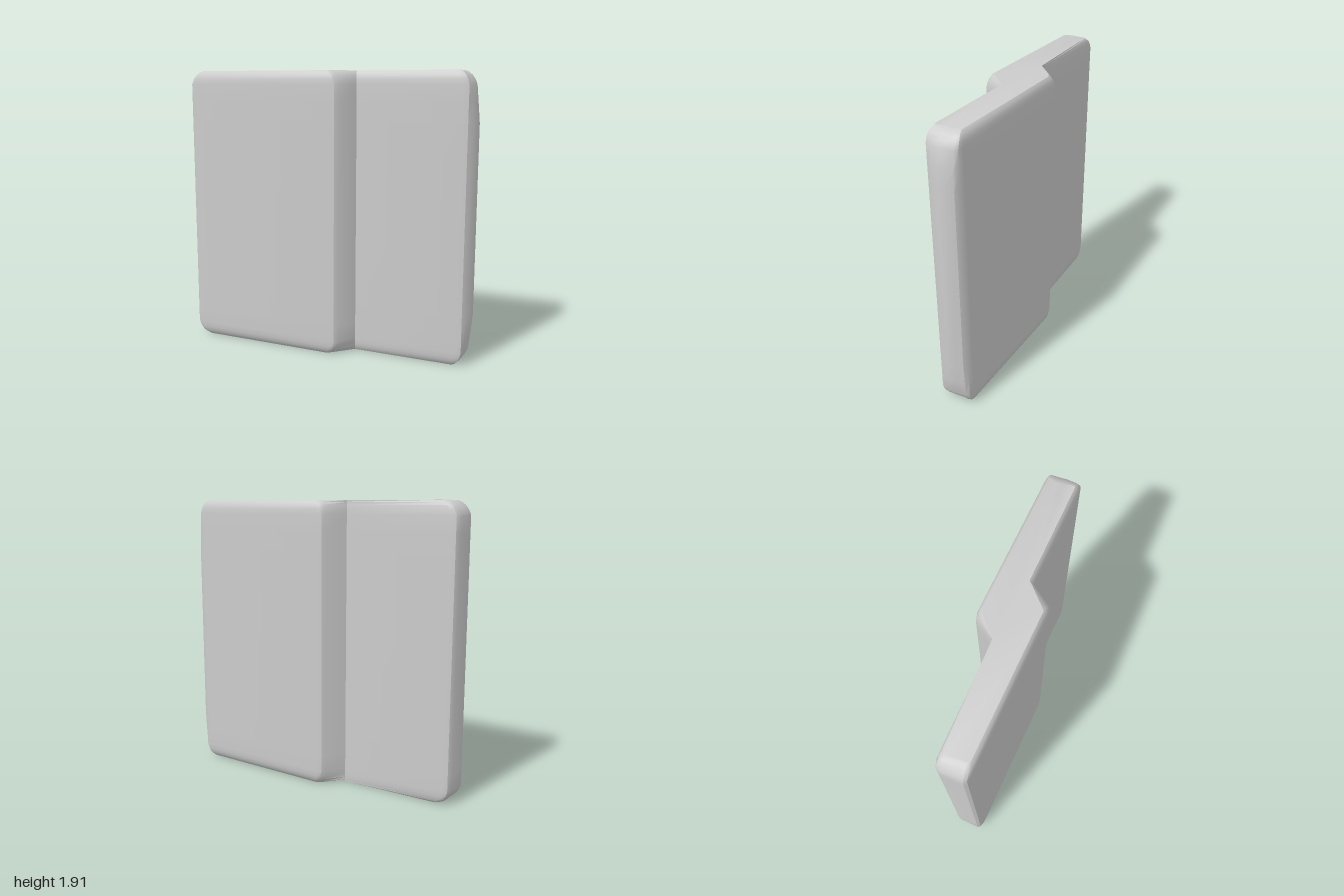
import * as THREE from 'three';
import { toCreasedNormals } from 'three/addons/utils/BufferGeometryUtils.js';

const HEIGHT = 1.915;

// Stepped plan outline, counter-clockwise from above:
// x, z, corner inset along x, bevel inset along z, bulge inset along x
const OUTLINE = [
  [-1, 0.02, 1, 0, 0],
  [-1, 0.16, 1, -0.015, 0],
  [-0.985, 0.178, 1, -0.02, 0],
  [-0.95, 0.187, 0.7, -0.025, 0],
  [0.08, 0.187, -0.3, -0.025, 0],
  [0.115, 0.182, -0.6, -0.025, 0],
  [0.14, 0.16, -0.7, -0.02, 0],
  [0.21, 0.032, -0.1, -0.02, 0],
  [0.91, 0.032, -0.4, -0.025, 0],
  [0.955, 0.022, -0.7, -0.02, 0],
  [0.98, -0.01, -0.8, -0.01, -0.5],
  [1, -0.07, -1, 0, -1],
  [0.995, -0.11, -1, 0, -1],
  [0.975, -0.165, -0.8, 0.01, -0.6],
  [0.95, -0.182, -0.7, 0.02, -0.2],
  [0.91, -0.19, -0.4, 0.025, 0],
  [-0.09, -0.19, 0.3, 0.025, 0],
  [-0.125, -0.18, 0.6, 0.02, 0],
  [-0.145, -0.155, 0.5, 0.01, 0],
  [-0.22, -0.03, 0, 0, 0],
  [-0.95, -0.021, 0.7, 0.02, 0],
  [-0.985, -0.01, 1, 0.015, 0],
];

// Distance from either end, then strength of each inset there
const LAYERS = [
  // distance, corner, bevel, bulge
  [0, 0.085, 1, 0.04],
  [0.012, 0.058, 0.6, 0.038],
  [0.03, 0.034, 0.25, 0.035],
  [0.055, 0.015, 0.05, 0.031],
  [0.09, 0, 0, 0.027],
  [0.2, 0, 0, 0.012],
  [0.33, 0, 0, 0],
];

function crossSection([distance, corner, bevel, bulge], isTop) {
  const y = isTop ? HEIGHT - distance : distance;
  return OUTLINE.map(([x, z, c, b, g]) => [x + c * corner + g * bulge, y, z + b * bevel]);
}

function steppedPanelGeometry() {
  const rings = [
    ...LAYERS.map((layer) => crossSection(layer, false)),
    ...LAYERS.slice().reverse().map((layer) => crossSection(layer, true)),
  ];
  const n = OUTLINE.length;
  const index = [];

  // Walls between successive cross-sections
  for (let r = 0; r < rings.length - 1; r++) {
    for (let i = 0; i < n; i++) {
      const j = (i + 1) % n;
      const a = r * n + i, b = r * n + j, c = a + n, d = b + n;
      index.push(a, b, d, a, d, c);
    }
  }

  // Flat ends
  const contour = rings[0].map(([x, , z]) => new THREE.Vector2(x, -z));
  const topStart = (rings.length - 1) * n;
  for (const [a, b, c] of THREE.ShapeUtils.triangulateShape(contour, [])) {
    index.push(topStart + a, topStart + b, topStart + c, a, c, b);
  }

  const geometry = new THREE.BufferGeometry();
  geometry.setAttribute('position', new THREE.Float32BufferAttribute(rings.flat(2), 3));
  geometry.setIndex(index);
  return toCreasedNormals(geometry, 0.55);
}

export function createModel() {
  const model = new THREE.Group();
  model.name = 'offsetPanel';

  // Two overlapping slabs in one stepped body with softened edges
  const body = new THREE.Mesh(
    steppedPanelGeometry(),
    new THREE.MeshStandardMaterial({ color: 0xcccccc })
  );
  body.name = 'steppedPanel';
  model.add(body);

  return model;
}
